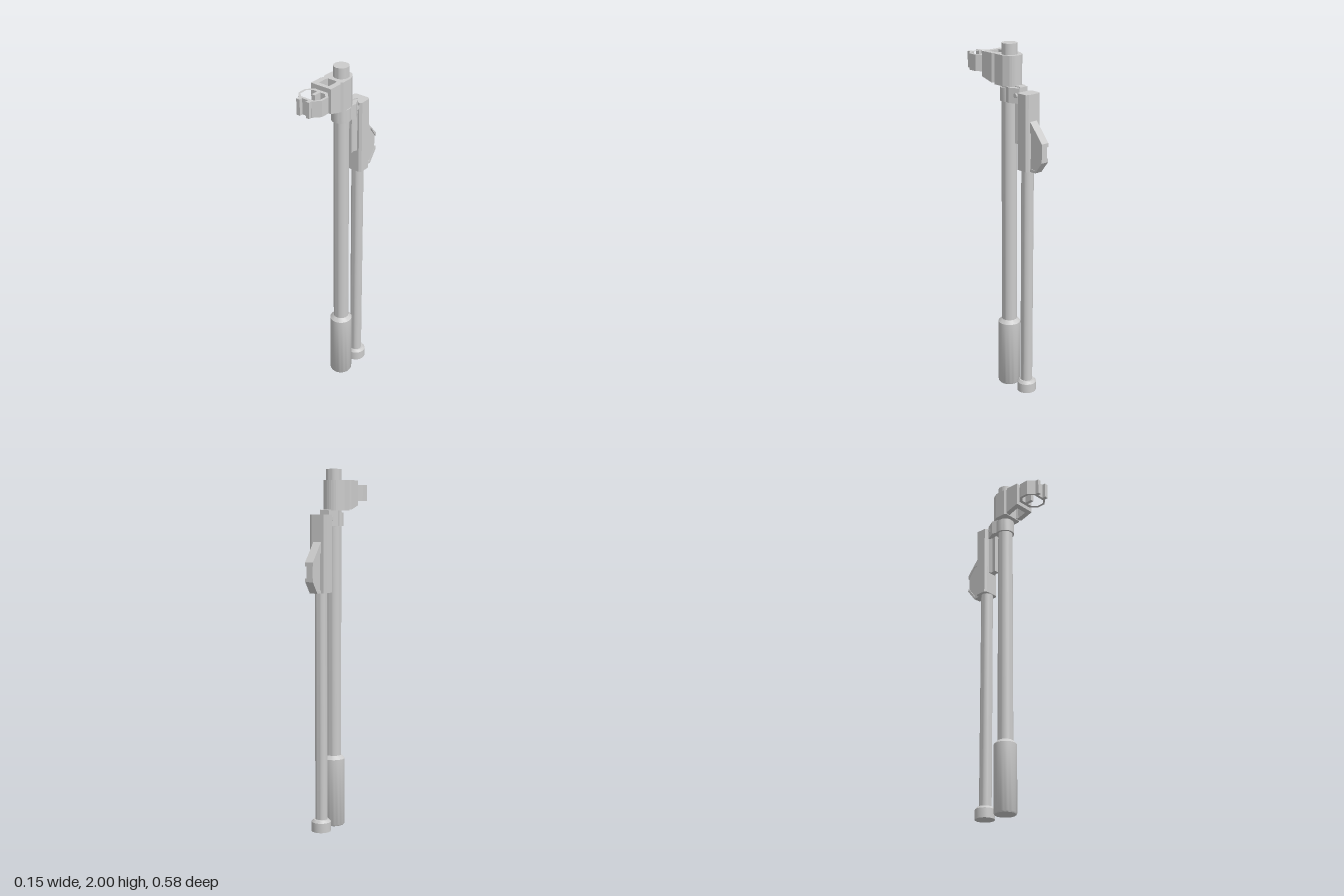
import * as THREE from 'three';
import { toCreasedNormals } from 'three/addons/utils/BufferGeometryUtils.js';

const material = new THREE.MeshStandardMaterial({ color: 0xcccccc });

const path = (points, Type = THREE.Shape) =>
  new Type(points.map(([a, b]) => new THREE.Vector2(a, b)));

export function createModel() {
  const group = new THREE.Group();

  const add = (name, geometry, x = 0, y = 0, z = 0) => {
    const mesh = new THREE.Mesh(geometry, material);
    mesh.name = name;
    mesh.position.set(x, y, z);
    group.add(mesh);
    return mesh;
  };

  // Plan outline in [x, z], raised from y0 to y1.
  const planGeometry = (outline, y0, y1, hole) => {
    const flip = (pts) => pts.map(([x, z]) => [x, -z]);
    const shape = path(flip(outline));
    if (hole) shape.holes.push(path(flip(hole), THREE.Path));
    return new THREE.ExtrudeGeometry(shape, { depth: y1 - y0, bevelEnabled: false })
      .rotateX(-Math.PI / 2).translate(0, y0, 0);
  };

  // Side outline in [z, y], given a width along x.
  const sideGeometry = (outline, width) =>
    new THREE.ExtrudeGeometry(path(outline), { depth: width, bevelEnabled: false })
      .translate(0, 0, -width / 2).rotateY(-Math.PI / 2);

  // Turned part from [radius, y] points.
  const turned = (points, segments = 32) => toCreasedNormals(
    new THREE.LatheGeometry(points.map(([r, y]) => new THREE.Vector2(r, y)), segments), 0.6);

  // Cut-corner rectangle in plan.
  const octagon = (w, z0, z1, cx, cz) => [
    [-w, z0 + cz], [-w + cx, z0], [w - cx, z0], [w, z0 + cz],
    [w, z1 - cz], [w - cx, z1], [-w + cx, z1], [-w, z1 - cz]];

  // Main tube with its wider foot
  add('mainTube', turned([[0, 0], [0.058, 0], [0.063, 0.008], [0.063, 0.385],
    [0.043, 0.405], [0.042, 2], [0, 2]]), 0.006, 0, -0.011);

  // Second tube and its end cap
  add('secondTube', turned([[0, 0.05], [0.034, 0.05], [0.034, 1.36], [0, 1.36]], 24), 0.006, 0, -0.157);
  add('endCap', turned([[0, 0], [0.054, 0], [0.054, 0.054], [0.042, 0.068], [0, 0.068]]), 0.006, 0, -0.16);

  // Upper clamp body: square front, tapered to a rounded back
  const arc = [];
  for (let i = 0; i <= 8; i++) {
    const a = (i / 8 - 0.5) * 1.8;
    arc.push([-Math.sin(a) * 0.058, -0.02 - Math.cos(a) * 0.057]);
  }
  add('clampBody', planGeometry([[-0.065, -0.02], [-0.065, 0.043], [-0.054, 0.055],
    [0.052, 0.055], [0.063, 0.043], [0.063, -0.02], ...arc], 1.775, 1.94));

  // U-shaped yoke ahead of the clamp, its underside rising to the front
  const yoke = planGeometry([[-0.052, 0.053], [-0.065, 0.068], [-0.065, 0.147], [0.063, 0.147],
    [0.063, 0.068], [0.052, 0.053], [0.026, 0.053], [0.032, 0.068], [0.032, 0.122],
    [-0.034, 0.122], [-0.034, 0.068], [-0.027, 0.053]], 1.78, 1.94);
  const pos = yoke.attributes.position;
  for (let i = 0; i < pos.count; i++) {
    if (pos.getY(i) < 1.8) pos.setY(i, 1.78 + 0.022 * Math.max(0, (pos.getZ(i) - 0.068) / 0.079));
  }
  yoke.computeVertexNormals();
  add('yoke', yoke);

  // Octagonal ring with two front prongs and an inner tab
  add('ring', planGeometry(octagon(0.076, 0.146, 0.272, 0.035, 0.037), 1.825, 1.915,
    octagon(0.062, 0.166, 0.257, 0.022, 0.023)));
  for (const side of [-1, 1]) {
    add('ringProng', new THREE.BoxGeometry(0.022, 0.09, 0.026), side * 0.03 - 0.001, 1.87, 0.279);
  }
  add('ringTab', new THREE.BoxGeometry(0.02, 0.09, 0.045), -0.001, 1.87, 0.186);

  // Lower collar with two jaws gripping the hanging rail
  add('collar', turned([[0, 1.69], [0.053, 1.69], [0.053, 1.765], [0, 1.765]]), 0.004, 0, -0.012);
  for (const side of [-1, 1]) {
    const jaw = [[0.046, -0.03], [0.056, -0.065], [0.028, -0.12], [0.022, -0.12],
      [0.014, -0.1], [0.02, -0.078], [0.014, -0.03]].map(([x, z]) => [0.005 + side * x, z]);
    add('collarJaw', planGeometry(jaw, 1.692, 1.775));
  }
  add('jawBolt', new THREE.CylinderGeometry(0.013, 0.013, 0.085, 6).rotateZ(Math.PI / 2),
    0.006, 1.735, -0.1);
  add('rail', planGeometry([[-0.02, -0.123], [0.031, -0.123], [0.02, -0.1], [0.025, -0.077],
    [-0.014, -0.077], [-0.009, -0.1]], 1.465, 1.78));

  // Slider block on top of the second tube
  add('sliderBlock', planGeometry(octagon(0.05, -0.2, -0.12, 0.013, 0.01), 1.335, 1.755), 0.004);

  // Lever: narrow core between wider sloped lips
  add('leverCore', sideGeometry([[-0.19, 1.6], [-0.2, 1.6], [-0.285, 1.49], [-0.285, 1.4],
    [-0.236, 1.34], [-0.19, 1.34]], 0.036), 0.006);
  add('leverUpperLip', sideGeometry([[-0.195, 1.615], [-0.29, 1.505], [-0.29, 1.483],
    [-0.245, 1.548], [-0.195, 1.548]], 0.047), 0.006);
  add('leverLowerLip', sideGeometry([[-0.29, 1.42], [-0.29, 1.4], [-0.24, 1.335],
    [-0.195, 1.335], [-0.195, 1.35], [-0.235, 1.35]], 0.047), 0.006);

  return group;
}
